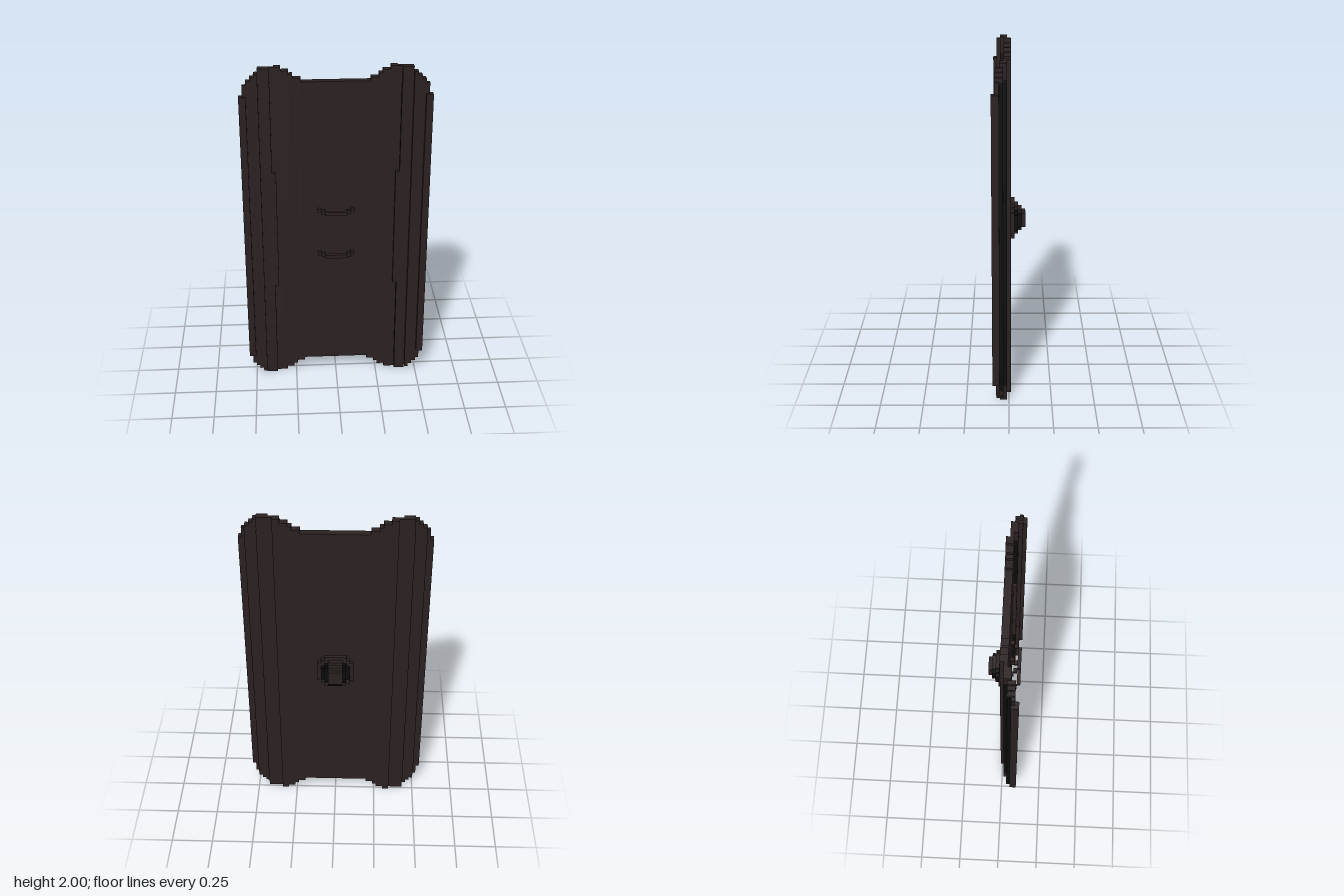
import * as THREE from 'three';

const brown = new THREE.MeshStandardMaterial({ color: 0x2b2121 });
brown.name = 'dark brown';
const black = new THREE.MeshStandardMaterial({ color: 0x0d0c0c });
black.name = 'near black';

const V = 0.0215; // size of one step

// Stepped outline: each entry is [outer |x|, top height]
const steps = [
  [0.195, 1.914], [0.24, 1.935], [0.262, 1.957], [0.305, 1.978], [0.433, 2.0],
  [0.455, 1.978], [0.477, 1.957], [0.5, 1.935], [0.52, 1.914], [0.54, 1.85],
];

// Plate between x0 and x1 that follows the stepped outline at top and bottom
function plate(name, x0, x1, z0, z1, cap = 2) {
  const top = [];
  let a = x0;
  for (const [end, h] of steps) {
    if (end <= a + 1e-6) continue;
    const b = Math.min(end, x1), y = Math.min(h, cap);
    top.push([a, y], [b, y]);
    a = b;
    if (a >= x1 - 1e-6) break;
  }
  const bottom = top.map(([x, y]) => [x, 2 - y]).reverse();
  const shape = new THREE.Shape([...top, ...bottom].map(p => new THREE.Vector2(...p)));
  const geo = new THREE.ExtrudeGeometry(shape, { depth: z1 - z0, bevelEnabled: false });
  geo.translate(0, 0, z0);
  const mesh = new THREE.Mesh(geo, brown);
  mesh.name = name;
  return mesh;
}

function box(name, x0, x1, y0, y1, z0, z1, mat = brown) {
  const mesh = new THREE.Mesh(new THREE.BoxGeometry(x1 - x0, y1 - y0, z1 - z0), mat);
  mesh.position.set((x0 + x1) / 2, (y0 + y1) / 2, (z0 + z1) / 2);
  mesh.name = name;
  return mesh;
}

// One side of the shield, for x > 0
function buildHalf() {
  const half = new THREE.Group();
  half.add(
    plate('centrePanel', 0, 0.345, -0.012, 0.031),
    plate('innerWingBack', 0.345, 0.433, 0.01, 0.031),
    plate('innerWingFront', 0.37, 0.433, 0.031, 0.052),
    box('innerWingTab', 0.345, 0.37, 0.63, 1.37, 0.031, 0.052),
    plate('middleWing', 0.433, 0.5, 0.031, 0.074),
    plate('outerWingBack', 0.5, 0.54, 0.053, 0.074),
    plate('outerWingFront', 0.5, 0.54, 0.074, 0.095, 1.85),
    // dark step faces
    box('outerStepFace', 0.498, 0.502, 0.09, 1.91, 0.032, 0.053, black),
    box('middleStepFace', 0.431, 0.435, 0.09, 1.91, 0.011, 0.031, black),
  );
  for (const y of [0.1, 1.37]) {
    half.add(box('innerStepFace', 0.368, 0.372, y, y + 0.53, 0.031, 0.051, black));
  }
  return half;
}

export function createModel() {
  const model = new THREE.Group();
  model.name = 'shield';

  // Two halves; the left one is turned, then flipped front to back in its vertices
  const left = buildHalf();
  left.name = 'leftHalf';
  const right = buildHalf();
  right.name = 'rightHalf';
  right.scale.x = -1;
  model.add(left, right);

  // Two stepped grips on the front
  for (const y of [0.83, 1.114]) {
    const grip = new THREE.Group();
    grip.name = 'grip';
    grip.add(box('gripBar', -0.065, 0.065, y, y + V, 0.074, 0.095));
    for (const s of [-1, 1]) {
      const link = (a, b, z) => box('gripLink', Math.min(s * a, s * b), Math.max(s * a, s * b), y, y + V, z, z + V);
      grip.add(link(0.086, 0.108, 0.031), link(0.063, 0.088, 0.0525));
    }
    model.add(grip);
  }

  // Round stepped boss on the back
  const boss = new THREE.Group();
  boss.name = 'boss';
  const cy = 0.983;
  for (let layer = 0; layer < 4; layer++) {
    const n = 5 - layer;
    const z = -0.012 - layer * V;
    for (let i = 0; i < n; i++) {
      const w = Math.max(1, Math.round(Math.sqrt((n + 0.2) ** 2 - (i + 0.5) ** 2))) * V;
      const mat = (layer === 1 || layer === 2) && i < n - 1 ? black : brown;
      boss.add(
        box('bossRow', -w, w, cy + i * V, cy + (i + 1) * V, z - V, z, mat),
        box('bossRow', -w, w, cy - (i + 1) * V, cy - i * V, z - V, z, mat),
      );
    }
  }
  model.add(boss);
  return model;
}
